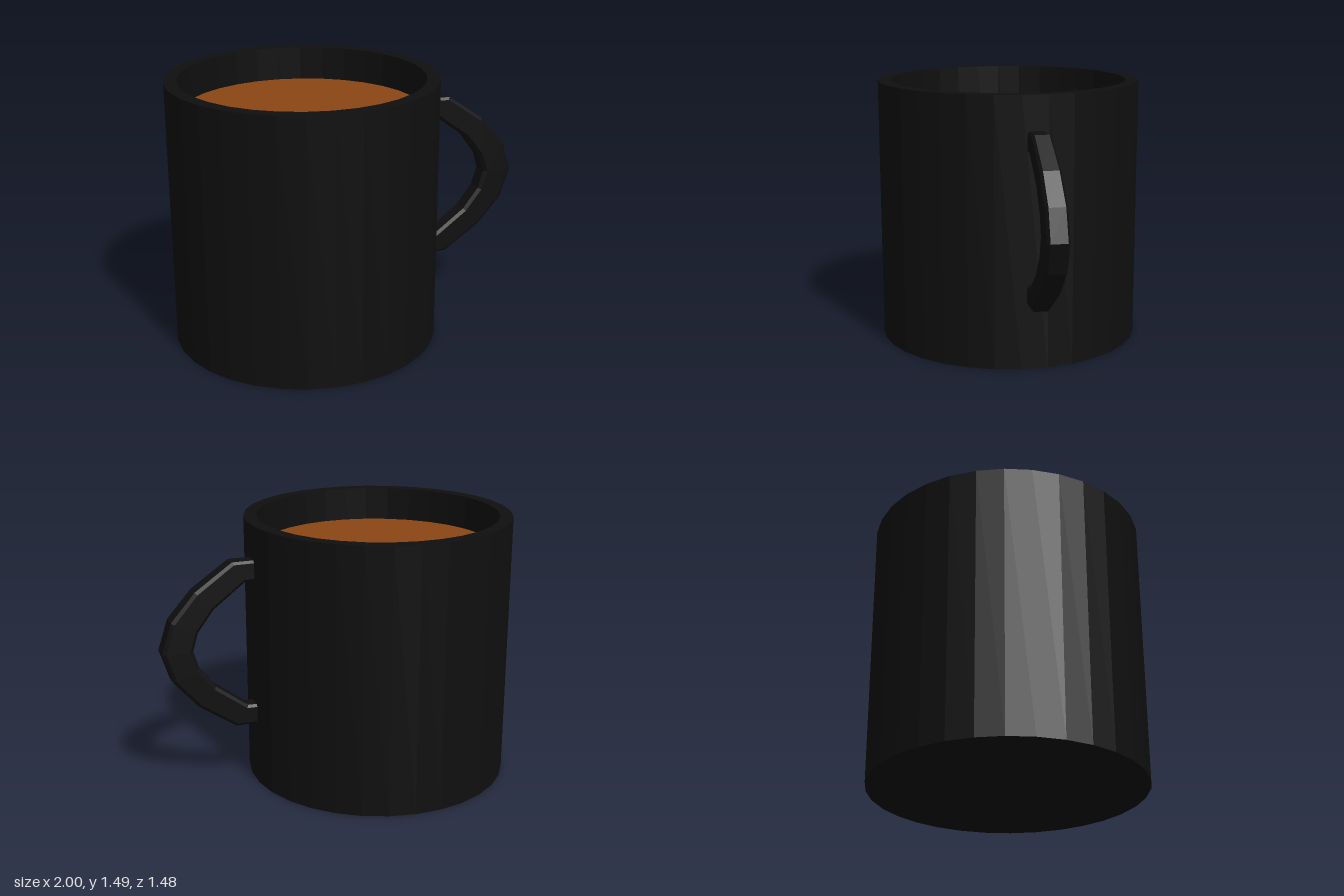
import * as THREE from 'three';

const SIDES = 32, CX = -0.26, HEIGHT = 1.49, R_OUT = 0.744, R_IN = 0.672, LIQUID_Y = 1.3;
const HANDLE_Y = 0.83, HANDLE_Z = -0.008;

// Loft of chamfered rectangles; each station is [outerX, outerDy, innerX, innerDy, width]
function handleGeometry() {
  const half = [
    [0.405, 0.47, 0.405, 0.36, 0.1],
    [0.6, 0.47, 0.53, 0.355, 0.104],
    [0.81, 0.325, 0.71, 0.22, 0.112],
    [0.945, 0.17, 0.8, 0.1, 0.118],
    [1.0, 0, 0.83, 0, 0.12],
  ];
  // the lower half mirrors the upper one
  const lower = half.slice(0, -1).reverse().map(([ox, oy, ix, iy, w]) => [ox, -oy, ix, -iy, w]);
  const stations = [...half, ...lower];
  // section corners: a runs inner to outer, b runs across the width
  const section = [[1, -0.75], [1, 0.75], [0.88, 1], [0.12, 1], [0, 0.75], [0, -0.75], [0.12, -1], [0.88, -1]];
  const n = section.length, pos = [], index = [];
  for (const [ox, oy, ix, iy, w] of stations) {
    for (const [a, b] of section) {
      pos.push(ix + (ox - ix) * a, HANDLE_Y + iy + (oy - iy) * a, HANDLE_Z + (b * w) / 2);
    }
  }
  const last = (stations.length - 1) * n;
  for (let k = 0; k < last; k += n) {
    for (let j = 0; j < n; j++) {
      const a = k + j, b = k + ((j + 1) % n);
      index.push(a, b, b + n, a, b + n, a + n);
    }
  }
  // end caps
  for (let j = 1; j < n - 1; j++) {
    index.push(0, j + 1, j, last, last + j, last + j + 1);
  }
  const g = new THREE.BufferGeometry();
  g.setAttribute('position', new THREE.Float32BufferAttribute(pos, 3));
  g.setIndex(index);
  g.computeVertexNormals();
  return g;
}

export function createModel() {
  const group = new THREE.Group();
  group.name = 'mug';
  const black = new THREE.MeshStandardMaterial({ color: 0x0f0f0f, flatShading: true });
  const brown = new THREE.MeshStandardMaterial({ color: 0x8b4513 });
  const add = (name, geometry, material) => {
    const mesh = new THREE.Mesh(geometry, material);
    mesh.name = name;
    group.add(mesh);
    return mesh;
  };

  // Hollow cup: base, outer wall, rim, inner wall, floor
  const profile = [[0, 0], [R_OUT, 0], [R_OUT, HEIGHT], [R_IN, HEIGHT], [R_IN, 0.08], [0, 0.08]]
    .map(([x, y]) => new THREE.Vector2(x, y));
  add('cup', new THREE.LatheGeometry(profile, SIDES, Math.PI / SIDES), black).position.x = CX;

  // Drink surface
  const disc = new THREE.CircleGeometry(R_IN, SIDES, Math.PI / SIDES);
  disc.rotateX(-Math.PI / 2);
  add('drink', disc, brown).position.set(CX, LIQUID_Y, 0);

  add('handle', handleGeometry(), black);
  return group;
}
